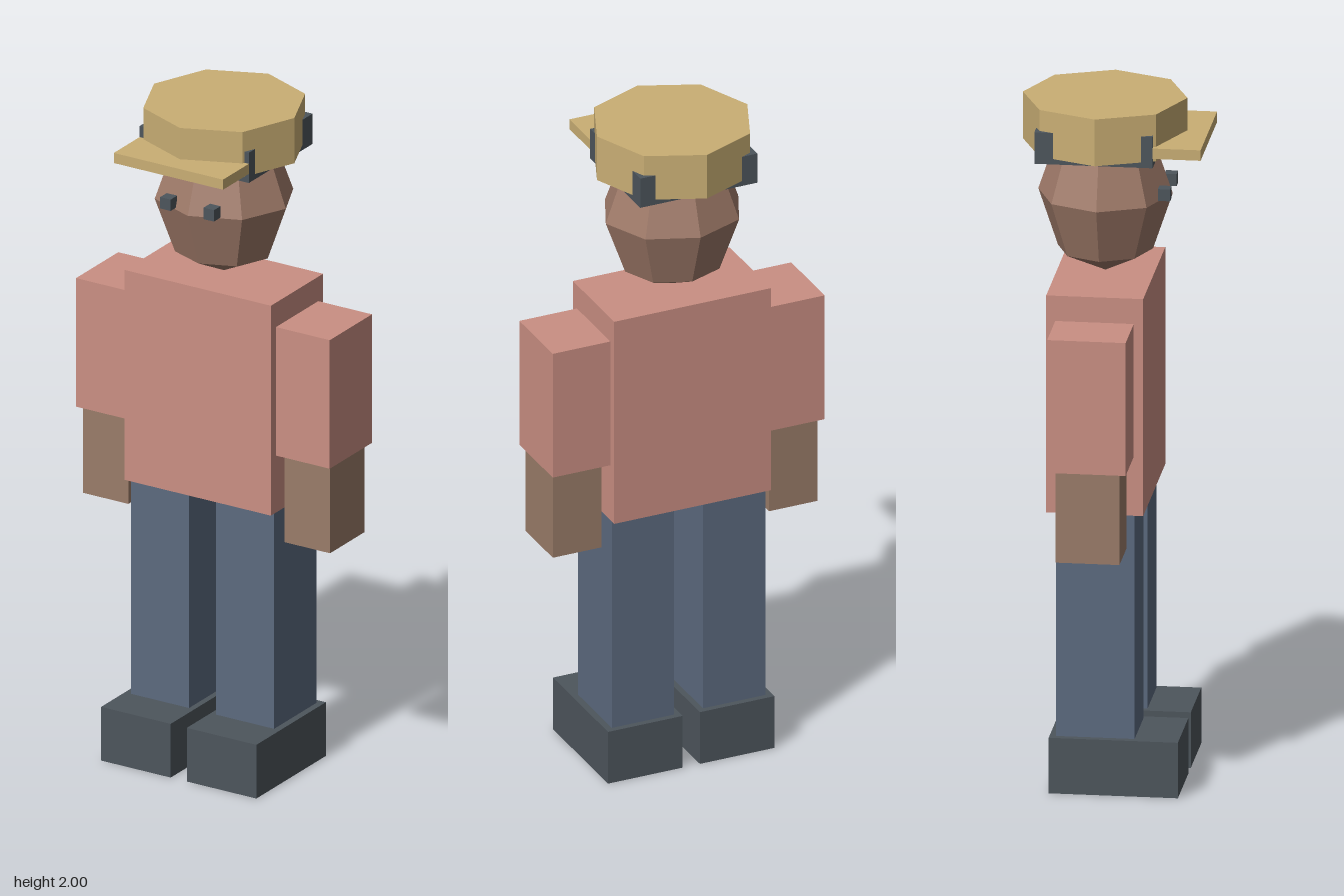
import * as THREE from 'three';

const mat = (name, color) => {
  const m = new THREE.MeshStandardMaterial({ color, flatShading: true });
  m.name = name;
  return m;
};

export function createModel() {
  const model = new THREE.Group();
  model.name = 'figure';

  const shirt = mat('shirt pink', 0xca8f83);
  const denim = mat('trouser blue', 0x5c6a7f);
  const dark = mat('dark grey', 0x4d555c);
  const cloth = mat('cap tan', 0xc9ae74);
  const face = mat('face brown', 0x9f7a69);
  const hand = mat('hand brown', 0x9a7c69);

  const add = (name, geometry, material, x, y, z) => {
    const mesh = new THREE.Mesh(geometry, material);
    mesh.name = name;
    mesh.position.set(x, y, z);
    model.add(mesh);
    return mesh;
  };
  // Box given by its extents on each axis
  const box = (name, material, [x0, x1], [y0, y1], [z0, z1]) =>
    add(name, new THREE.BoxGeometry(x1 - x0, y1 - y0, z1 - z0), material,
      (x0 + x1) / 2, (y0 + y1) / 2, (z0 + z1) / 2);
  // Mirrored pair; extents are for the left (+x) side
  const pair = (name, material, [x0, x1], y, z) => {
    box('left' + name, material, [x0, x1], y, z);
    box('right' + name, material, [-x1, -x0], y, z);
  };

  // Body
  box('torso', shirt, [-0.245, 0.245], [0.83, 1.475], [-0.169, 0.108]);
  pair('Sleeve', shirt, [0.245, 0.425], [1.005, 1.4], [-0.143, 0.081]);
  pair('Forearm', hand, [0.262, 0.414], [0.736, 1.005], [-0.12, 0.062]);
  pair('Leg', denim, [0.045, 0.24], [0.163, 0.83], [-0.142, 0.083]);
  pair('Shoe', dark, [0.027, 0.26], [0, 0.165], [-0.16, 0.209]);

  // Faceted head and eyes
  add('head', new THREE.SphereGeometry(1, 8, 4), face, 0, 1.715, -0.031)
    .scale.set(0.207, 0.235, 0.192);
  pair('Eye', dark, [0.055, 0.09], [1.719, 1.754], [0.13, 0.165]);

  // Octagonal cap with brim
  add('capCrown', new THREE.CylinderGeometry(0.235, 0.235, 0.139, 8), cloth, 0, 1.9305, -0.032);
  box('capBrim', cloth, [-0.183, 0.183], [1.873, 1.904], [0.127, 0.264]);

  // Dark plate under the cap with corner posts
  box('capPlate', dark, [-0.183, 0.183], [1.845, 1.863], [-0.211, 0.127]);
  pair('FrontPost', dark, [0.128, 0.183], [1.845, 1.938], [0.072, 0.127]);
  pair('BackPost', dark, [0.128, 0.183], [1.845, 1.938], [-0.211, -0.156]);

  return model;
}
